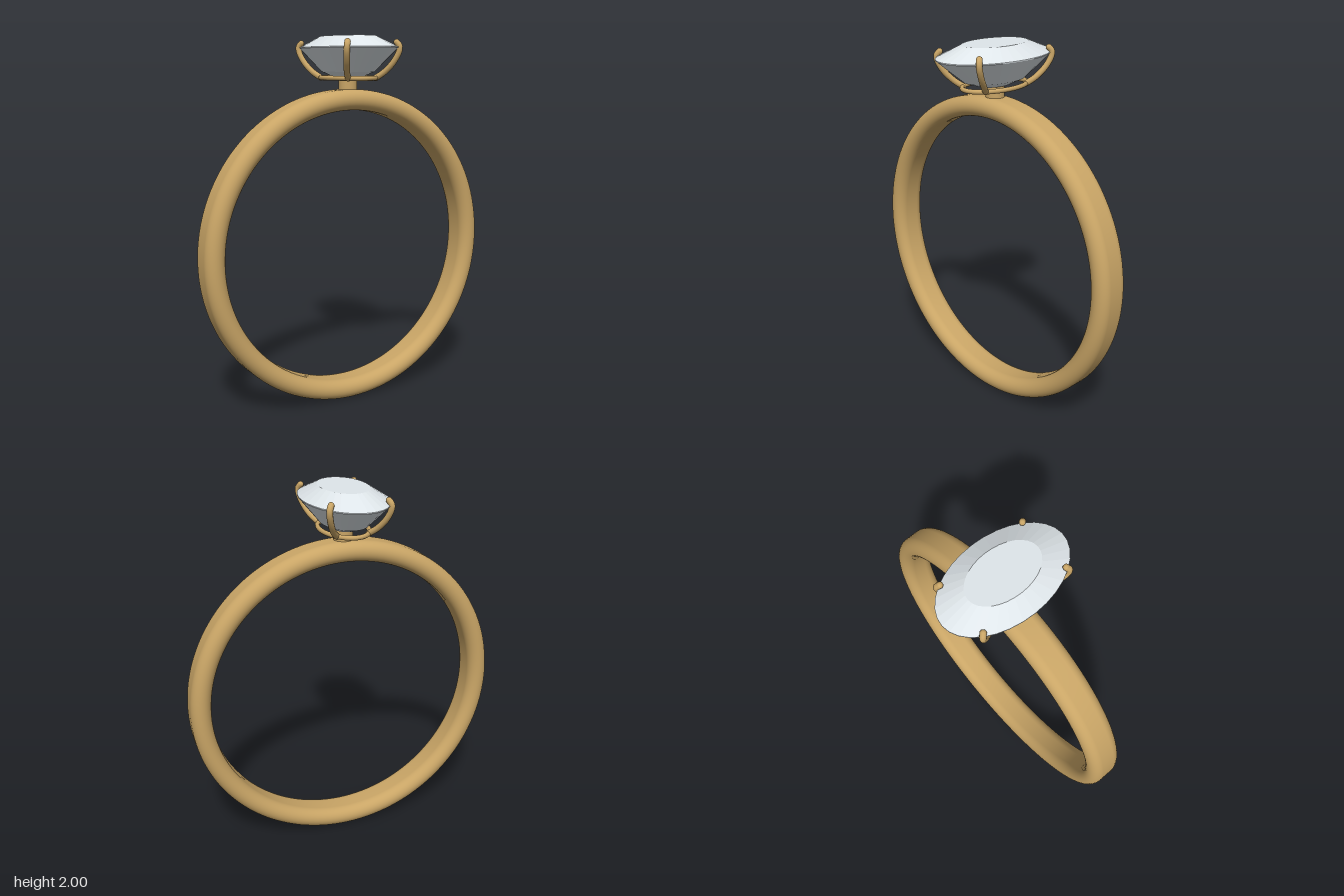
import * as THREE from 'three';

const gold = new THREE.MeshStandardMaterial({ color: 0xc9a566 });
const gem = new THREE.MeshStandardMaterial({ color: 0xdfe6ea, flatShading: true });

function add(parent, name, geometry, material) {
  const mesh = new THREE.Mesh(geometry, material);
  mesh.name = name;
  parent.add(mesh);
  return mesh;
}

// Closed stadium cross-section (radius, height), starting mid inner face
function bandProfile(inner, outer, halfWidth) {
  const r = (outer - inner) / 2, mid = inner + r, flat = halfWidth - r;
  const pts = [new THREE.Vector2(inner, 0)];
  for (const [start, y] of [[Math.PI, -flat], [0, flat]]) {
    for (let i = 0; i <= 16; i++) {
      const a = start + (i / 16) * Math.PI;
      pts.push(new THREE.Vector2(mid + r * Math.cos(a), y + r * Math.sin(a)));
    }
  }
  pts.push(new THREE.Vector2(inner, 0));
  return pts;
}

export function createModel() {
  const ring = new THREE.Group();
  ring.name = 'ring';

  // Finger band standing upright
  const band = add(ring, 'band', new THREE.LatheGeometry(bandProfile(0.75, 0.86, 0.092), 128), gold);
  band.rotation.x = Math.PI / 2;
  band.position.y = 0.863;

  // Short post between band and setting
  const post = add(ring, 'post', new THREE.CylinderGeometry(0.05, 0.05, 0.09, 32), gold);
  post.position.y = 1.737;

  const setting = new THREE.Group();
  setting.name = 'setting';
  ring.add(setting);

  // Oval wire under the stone
  const oval = [];
  for (let i = 0; i < 32; i++) {
    const a = (i / 32) * Math.PI * 2;
    oval.push(new THREE.Vector3(0.122 * Math.cos(a), 1.782, 0.197 * Math.sin(a)));
  }
  add(setting, 'baseWire', new THREE.TubeGeometry(new THREE.CatmullRomCurve3(oval, true), 96, 0.0125, 12, true), gold);

  // Four curved prongs with rounded tips
  for (const sx of [-1, 1]) for (const sz of [-1, 1]) {
    const path = [
      [0.084, 1.782, 0.142], [0.115, 1.815, 0.18], [0.142, 1.865, 0.222],
      [0.158, 1.92, 0.249], [0.158, 1.947, 0.251], [0.148, 1.965, 0.24],
    ].map(([x, y, z]) => new THREE.Vector3(x * sx, y, z * sz));
    const prong = new THREE.Group();
    prong.name = 'prong';
    setting.add(prong);
    add(prong, 'prongWire', new THREE.TubeGeometry(new THREE.CatmullRomCurve3(path), 32, 0.016, 12), gold);
    for (const end of [path[0], path[path.length - 1]]) {
      add(prong, 'prongEnd', new THREE.SphereGeometry(0.016, 12, 8), gold).position.copy(end);
    }
  }

  // Oval faceted stone: pavilion, girdle, crown and flat table
  const stoneProfile = [[0, 1.772], [0.1, 1.785], [0.19, 1.815], [0.35, 1.937], [0.35, 1.942], [0.2, 2], [0, 2]]
    .map(([r, y]) => new THREE.Vector2(r, y));
  const stone = add(ring, 'stone', new THREE.LatheGeometry(stoneProfile, 32), gem);
  stone.scale.x = 0.218 / 0.35;

  return ring;
}
